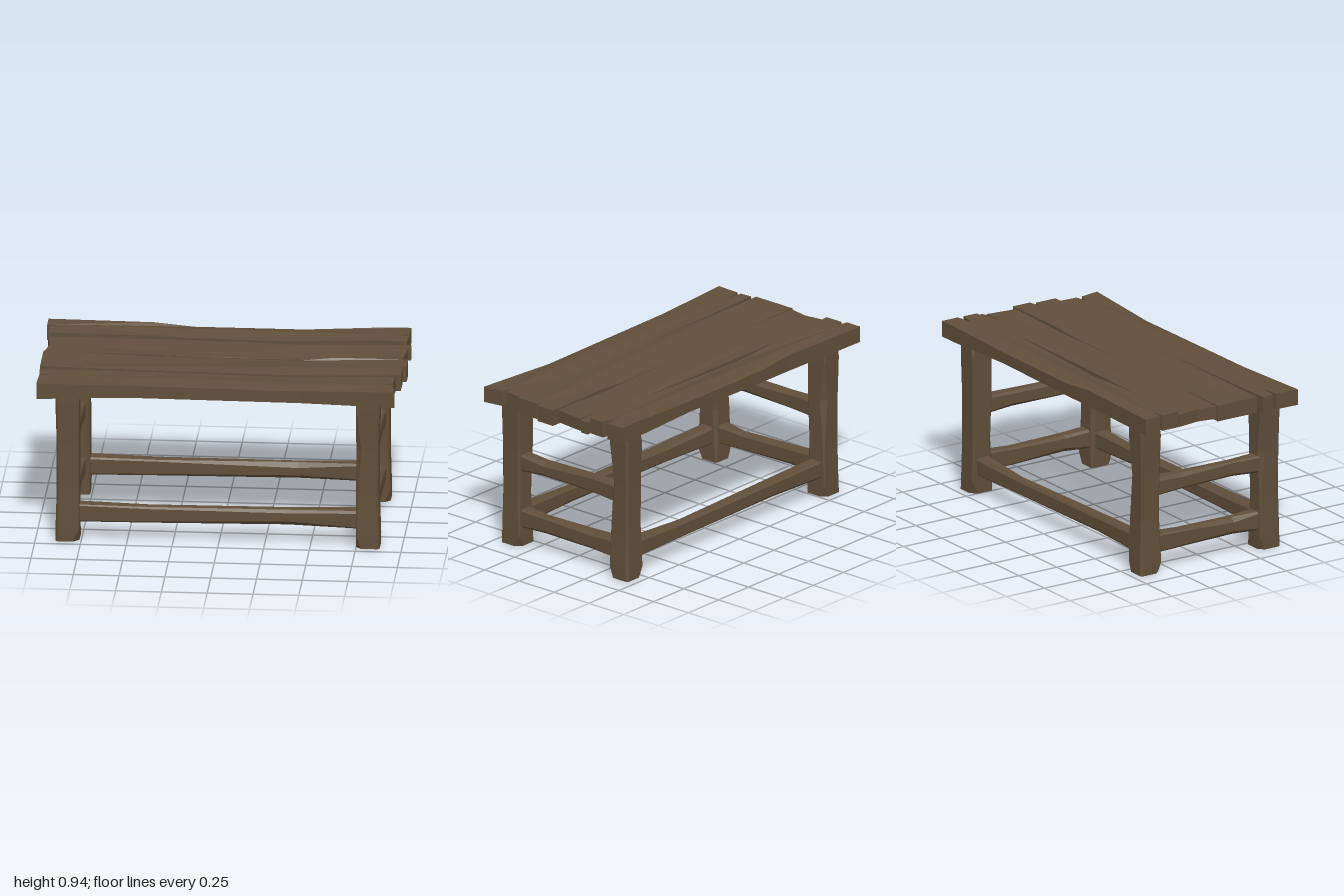
import * as THREE from 'three';

const wood = new THREE.MeshStandardMaterial({ color: 0x5f4e3a, flatShading: true });
wood.name = 'dark weathered wood';

// Plank from a top outline of [x, z, top drop, bottom lift] points, running clockwise from the back left
function plank(name, y0, y1, outline) {
  const shape = new THREE.Shape(outline.map(([x, z]) => new THREE.Vector2(x, -z)));
  const geo = new THREE.ExtrudeGeometry(shape, { depth: y1 - y0, bevelEnabled: false });
  geo.rotateX(-Math.PI / 2);
  geo.translate(0, y0, 0);
  const p = geo.attributes.position;
  for (let i = 0; i < p.count; i++) {
    const o = outline.find(([x, z]) => Math.hypot(x - p.getX(i), z - p.getZ(i)) < 1e-4);
    const top = p.getY(i) > (y0 + y1) / 2;
    if (o) p.setY(i, p.getY(i) + (top ? -(o[2] || 0) : (o[3] || 0)));
  }
  geo.computeVertexNormals();
  const mesh = new THREE.Mesh(geo, wood);
  mesh.name = name;
  return mesh;
}

// Rough-hewn beam along y: stations of [y, centre x, centre z, half x, half z, four corner cuts]
function beam(stations) {
  const rings = stations.map(([y, cx, cz, h, k, c]) => [
    [h, c[0] - k], [h - c[0], -k], [c[1] - h, -k], [-h, c[1] - k],
    [-h, k - c[2]], [c[2] - h, k], [h - c[3], k], [h, k - c[3]],
  ].map(([x, z]) => [cx + x, y, cz + z]));
  const pos = [];
  const tri = (a, b, c) => pos.push(...a, ...b, ...c);
  for (let s = 0; s < rings.length - 1; s++) {
    for (let i = 0; i < 8; i++) {
      const j = (i + 1) % 8, a = rings[s], b = rings[s + 1];
      tri(a[i], a[j], b[j]);
      tri(a[i], b[j], b[i]);
    }
  }
  const first = rings[0], last = rings[rings.length - 1];
  for (let i = 1; i < 7; i++) {
    tri(first[0], first[i + 1], first[i]);
    tri(last[0], last[i], last[i + 1]);
  }
  const geo = new THREE.BufferGeometry();
  geo.setAttribute('position', new THREE.Float32BufferAttribute(pos, 3));
  geo.computeVertexNormals();
  return geo;
}

const turn = (cuts, n) => cuts.map((_, i) => cuts[(i + n) % 4]);

export function createModel() {
  const model = new THREE.Group();
  model.name = 'table';

  // Table top: four split planks
  const top = new THREE.Group();
  top.name = 'tableTop';
  top.add(
    plank('backPlank', 0.855, 0.945, [
      [-1, -0.505], [-0.42, -0.49], [-0.2, -0.49, 0.02], [0.4, -0.49, 0.02, 0.008], [0.85, -0.503], [0.98, -0.505],
      [0.98, -0.4], [0.865, -0.385], [0.98, -0.365], [0.975, -0.278], [0.8, -0.285],
      [0.3, -0.292, 0.02], [-0.2, -0.302, 0.02, 0.008], [-0.5, -0.295, 0.008], [-0.985, -0.278],
      [-0.985, -0.385], [-0.92, -0.395], [-1, -0.41]]),
    plank('innerBackPlank', 0.855, 0.925, [
      [-0.985, -0.272], [-0.3, -0.27], [0.4, -0.255, 0.005], [0.85, -0.268], [1, -0.275],
      [1, -0.225], [0.85, -0.205], [0.985, -0.208], [0.965, -0.03],
      [0.55, -0.025, 0.012], [0, -0.012, 0.008], [-0.4, -0.012], [-0.985, -0.03], [-0.965, -0.14]]),
    plank('innerFrontPlank', 0.84, 0.93, [
      [-0.99, -0.025], [-0.4, -0.008, 0.012, 0.008], [0.4, -0.01, 0.018], [0.6, -0.022], [1, -0.025],
      [1, 0.085], [0.94, 0.1], [0.98, 0.112], [0.98, 0.24],
      [0.4, 0.255, 0.01, 0.005], [-0.4, 0.245, 0.005, 0.005], [-0.99, 0.235]]),
    plank('frontPlank', 0.833, 0.922, [
      [-0.99, 0.272], [-0.6, 0.26], [0.4, 0.262, 0.012, 0.008], [0.95, 0.243],
      [0.945, 0.355], [0.88, 0.37], [0.945, 0.39], [0.965, 0.503],
      [0.45, 0.48, 0.016, 0.006], [-0.5, 0.48, 0.008, 0.012], [-0.99, 0.503],
      [-0.985, 0.365], [-0.88, 0.352], [-0.985, 0.34]]),
  );
  model.add(top);

  // Legs: waisted posts with chipped feet and corners
  const legs = [['frontLeft', 1, 1], ['frontRight', -1, 1], ['backRight', -1, -1], ['backLeft', 1, -1]];
  legs.forEach(([name, sx, sz], n) => {
    const cx = sx > 0 ? 0.815 : -0.825, cz = 0.391 * sz;
    const mesh = new THREE.Mesh(beam([
      [0, cx, cz, 0.065, 0.067, turn([0.035, 0.01, 0.03, 0.012], n)],
      [0.06, cx, cz, 0.065, 0.067, turn([0.006, 0.012, 0.008, 0.016], n)],
      [0.3, cx - 0.003 * sx, cz - 0.001 * sz, 0.061, 0.061, turn([0.012, 0.022, 0.008, 0.01], n)],
      [0.56, cx - 0.003 * sx, cz - 0.001 * sz, 0.061, 0.061, turn([0.01, 0.008, 0.03, 0.008], n)],
      [0.79, cx, cz, 0.065, 0.066, turn([0.008, 0.014, 0.006, 0.012], n)],
      [0.857, cx, cz, 0.065, 0.066, turn([0.025, 0.008, 0.01, 0.015], n)],
    ]), wood);
    mesh.name = name + 'Leg';
    model.add(mesh);
  });

  // Rails: thicker at the ends, with uneven cut corners
  function rail(name, half, hh, hw, sag, n, place) {
    const geo = beam([
      [-half, 0, 0, hh, hw, turn([0.008, 0.012, 0.006, 0.01], n)],
      [-half * 0.48, sag, 0.003, hh - 0.005, hw - 0.006, turn([0.012, 0.02, 0.01, 0.008], n)],
      [half * 0.48, sag, -0.003, hh - 0.006, hw - 0.008, turn([0.02, 0.008, 0.016, 0.026], n)],
      [half, 0, 0, hh, hw, turn([0.01, 0.008, 0.012, 0.006], n)],
    ]);
    geo.rotateZ(-Math.PI / 2);
    const mesh = new THREE.Mesh(geo, wood);
    mesh.name = name;
    place(mesh);
    model.add(mesh);
  }
  [['front', 1], ['back', -1]].forEach(([name, s], n) =>
    rail(name + 'Rail', 0.79, 0.05, 0.042, 0.002, n, m => m.position.set(-0.005, 0.155, 0.39 * s)));
  [['left', 0.815], ['right', -0.825]].forEach(([name, x], n) =>
    [['Lower', 0.16, 0.054, 0.002], ['Upper', 0.484, 0.049, -0.004]].forEach(([level, y, hh, sag], i) =>
      rail(name + level + 'Rail', 0.36, hh, 0.042, sag, n + i * 2, m => {
        m.rotation.y = -Math.PI / 2;
        m.position.set(x, y, 0);
      })));

  return model;
}
